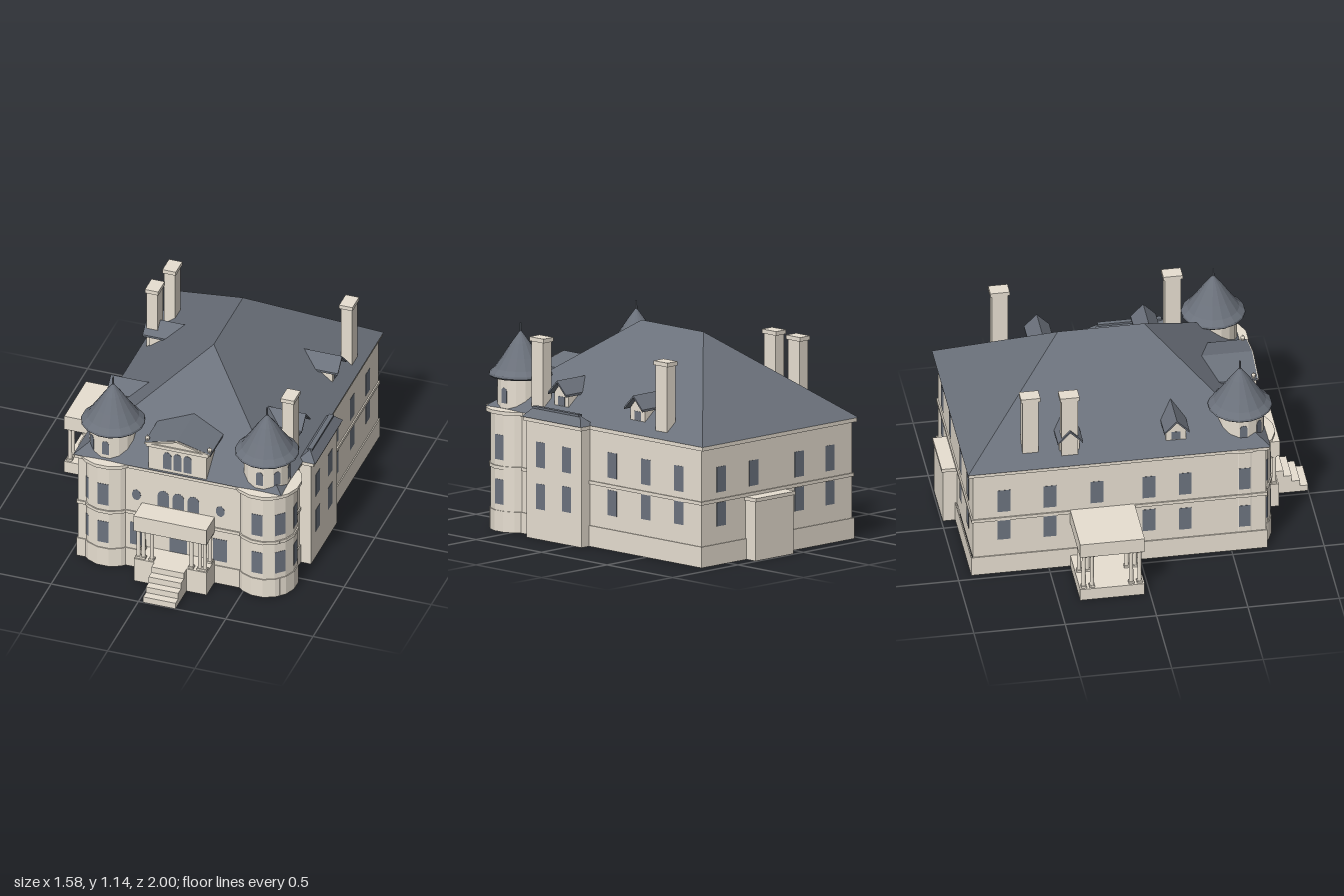
import * as THREE from 'three';

const mat = (name, color) => {
  const m = new THREE.MeshStandardMaterial({ color, flatShading: true, side: THREE.DoubleSide });
  m.name = name;
  return m;
};

export function createModel() {
  const house = new THREE.Group();
  house.name = 'mansion';
  const stone = mat('cream stone', 0xe7dfd1);
  const slate = mat('slate roof', 0x6b717b);
  const glass = mat('window glass', 0x6c737f);
  const CX = 0.119; // symmetry axis of the main block

  const add = (name, geo, material, parent = house) => {
    const m = new THREE.Mesh(geo, material);
    m.name = name;
    parent.add(m);
    return m;
  };
  // Box given by its min and max on each axis
  const box = (name, x0, x1, y0, y1, z0, z1, material = stone, parent = house) => {
    const m = add(name, new THREE.BoxGeometry(x1 - x0, y1 - y0, z1 - z0), material, parent);
    m.position.set((x0 + x1) / 2, (y0 + y1) / 2, (z0 + z1) / 2);
  };
  const column = (name, x, z, y0, y1, r) => {
    const m = add(name, new THREE.CylinderGeometry(r * 0.85, r, y1 - y0, 12), stone);
    m.position.set(x, (y0 + y1) / 2, z);
    for (const y of [y0 + 0.006, y1 - 0.006]) {
      box(name + 'Block', x - r * 1.25, x + r * 1.25, y - 0.006, y + 0.006, z - r * 1.25, z + r * 1.25);
    }
  };
  const polygon = (pts) => new THREE.Shape(pts.map(([x, y]) => new THREE.Vector2(x, y)));
  const extrude = (shape, depth) =>
    new THREE.ExtrudeGeometry(shape, { depth, bevelEnabled: false, curveSegments: 8 });

  // Hollow foundation wall from the ground up to height h
  const skirt = (name, x0, x1, z0, z1, h) => {
    const rect = (t) => [[x0 + t, -z1 + t], [x1 - t, -z1 + t], [x1 - t, -z0 - t], [x0 + t, -z0 - t]];
    const s = polygon(rect(0));
    s.holes.push(polygon(rect(0.006)));
    add(name, extrude(s, h), stone).rotation.x = -Math.PI / 2;
  };

  // Thin glass plate, standing on y, facing outward by angle a around y
  const pane = (kind, w, h, x, y, z, a = 0, parent = house) => {
    let s = new THREE.Shape();
    if (kind === 'oval') {
      s.absellipse(0, h / 2, w / 2, h / 2, 0, Math.PI * 2);
    } else if (kind === 'arch') {
      s.moveTo(-w / 2, 0);
      s.lineTo(w / 2, 0);
      s.lineTo(w / 2, h - w / 2);
      s.absarc(0, h - w / 2, w / 2, 0, Math.PI);
    } else {
      s = polygon([[-w / 2, 0], [w / 2, 0], [w / 2, h], [-w / 2, h]]);
    }
    const m = add(kind + 'Window', extrude(s, 0.004).translate(0, 0, -0.0025), glass, parent);
    m.position.set(x, y, z);
    m.rotation.y = a;
  };

  // Hipped roof: rectangle at y0, ridge along z at y1
  const hipRoof = (name, x0, x1, z0, z1, y0, y1, rx, r0, r1) => {
    const a = [x0, y0, z1], b = [x1, y0, z1], c = [x1, y0, z0], d = [x0, y0, z0];
    const f = [rx, y1, r1], k = [rx, y1, r0];
    const tris = [a, b, f, b, c, k, b, k, f, c, d, k, d, a, f, d, f, k, a, d, c, a, c, b];
    const g = new THREE.BufferGeometry();
    g.setAttribute('position', new THREE.Float32BufferAttribute(tris.flat(), 3));
    g.computeVertexNormals();
    add(name, g, slate);
  };

  // Main block with hollow plinth, string course and cornice
  box('mainWalls', -0.456, 0.695, 0.11, 0.65, -0.915, 0.69);
  skirt('plinth', -0.463, 0.702, -0.925, 0.695, 0.115);
  box('stringCourse', -0.463, 0.702, 0.343, 0.362, -0.923, 0.697);
  box('cornice', -0.47, 0.71, 0.645, 0.669, -0.94, 0.705);
  hipRoof('mainRoof', -0.476, 0.716, -0.945, 0.712, 0.668, 1.14, CX, -0.355, 0.117);

  // Side bay
  box('bayWalls', 0.68, 0.76, 0, 0.65, -0.065, 0.354);
  box('bayCornice', 0.68, 0.778, 0.645, 0.669, -0.08, 0.362);
  hipRoof('bayRoof', 0.68, 0.787, -0.085, 0.365, 0.667, 0.722, 0.74, -0.035, 0.315);
  box('bayRidge', 0.727, 0.753, 0.715, 0.727, -0.035, 0.315, slate);

  // Rear porch block
  box('rearPorch', 0.067, 0.358, 0, 0.328, -0.993, -0.9);
  box('rearPorchCap', 0.06, 0.364, 0.325, 0.345, -1, -0.9);

  // Corner towers, open at the ground
  const lathe = (pts) => new THREE.LatheGeometry(pts.map(([r, y]) => new THREE.Vector2(r, y)), 16, Math.PI / 16);
  for (const [s, x] of [[-1, -0.296], [1, 0.586]]) {
    const t = new THREE.Group();
    t.name = s < 0 ? 'rightTower' : 'leftTower';
    t.position.set(x, 0, 0.573);
    house.add(t);
    add('towerWall', lathe([[0.17, 0], [0.17, 0.115], [0.165, 0.115], [0.165, 0.343], [0.172, 0.343],
      [0.172, 0.362], [0.165, 0.362], [0.165, 0.645], [0.19, 0.648], [0.19, 0.668], [0.1, 0.672]]), stone, t);
    add('towerLantern', lathe([[0.128, 0.66], [0.128, 0.85]]), stone, t);
    add('towerRoof', lathe([[0.12, 0.834], [0.165, 0.836], [0.175, 0.845], [0.172, 0.856], [0.142, 0.882],
      [0.1, 0.943], [0.05, 1.02], [0.02, 1.06], [0.006, 1.08]]), slate, t);
    const spike = add('towerFinial', new THREE.CylinderGeometry(0.005, 0.007, 0.07, 8), slate, t);
    spike.position.y = 1.092;
    for (let i = 0; i < 3; i++) {
      const a = (s * i * Math.PI) / 4;
      const put = (kind, w, h, y, r) => pane(kind, w, h, Math.sin(a) * r, y, Math.cos(a) * r, a, t);
      put('square', 0.063, 0.137, 0.15, 0.162);
      put('square', 0.063, 0.137, 0.395, 0.162);
      put('arch', 0.04, 0.085, 0.7, 0.1257);
    }
  }

  // Front entrance porch and stairs
  skirt('porchBase', -0.09, 0.327, 0.68, 0.82, 0.14);
  box('porchFloor', -0.09, 0.327, 0.12, 0.145, 0.68, 0.82);
  box('porchRoof', -0.09, 0.327, 0.33, 0.426, 0.68, 0.826);
  for (const s of [-1, 1]) {
    for (const [dx, z] of [[0.19, 0.797], [0.162, 0.797], [0.113, 0.797], [0.19, 0.715]]) {
      column('porchColumn', CX + s * dx, z, 0.145, 0.332, 0.012);
    }
  }
  for (let i = 0; i < 4; i++) {
    box('stairStep', 0.027, 0.212, 0, 0.03625 * (i + 1), 0.81, 1 - 0.045 * i);
  }

  // Side carriage porch
  skirt('sidePorchBase', -0.79, -0.455, -0.383, -0.03, 0.065);
  box('sidePorchFloor', -0.79, -0.45, 0.05, 0.07, -0.383, -0.03);
  box('sidePorchRoof', -0.79, -0.45, 0.28, 0.365, -0.383, -0.03);
  for (const x of [-0.765, -0.613]) {
    for (const z of [-0.055, -0.1, -0.315, -0.36]) column('sidePorchColumn', x, z, 0.07, 0.282, 0.012);
  }

  // Gabled dormer facing +z with its face at local z = 0 and its roof jutting forward
  const dormer = (name, half, base, eave, peak, over, depth, jut) => {
    const g = new THREE.Group();
    g.name = name;
    house.add(g);
    const wall = add(name + 'Wall', extrude(polygon([[-half, base], [half, base], [half, eave], [0, peak - 0.012], [-half, eave]]), depth), stone, g);
    wall.position.z = -depth;
    const h = half + over;
    const roof = add(name + 'Roof', extrude(polygon([[-h, eave - 0.008], [0, peak - 0.012], [h, eave - 0.008], [h, eave + 0.004], [0, peak], [-h, eave + 0.004]]), depth + jut), slate, g);
    roof.position.z = -depth;
    return g;
  };
  for (const s of [-1, 1]) {
    for (const z of [-0.378, 0.205]) {
      const d = dormer('sideDormer', 0.055, 0.69, 0.795, 0.87, 0.014, 0.22, 0.036);
      d.position.set(CX + s * 0.523, 0, z);
      d.rotation.y = (s * Math.PI) / 2;
      pane('square', 0.05, 0.05, 0, 0.728, 0, 0, d);
    }
  }

  // Front pediment
  const ped = dormer('pediment', 0.167, 0.67, 0.835, 0.89, 0.022, 0.36, 0.003);
  ped.position.set(CX, 0, 0.705);
  box('pedimentCornice', -0.177, 0.177, 0.818, 0.838, -0.25, 0.008, stone, ped);
  for (const s of [-1, 1]) {
    // Raking trim and urns
    const rake = add('rakingTrim', extrude(polygon([[s * 0.187, 0.83], [0, 0.879], [0, 0.888], [s * 0.187, 0.839]]), 0.006), stone, ped);
    rake.position.z = 0.003;
    const urn = add('urn', new THREE.SphereGeometry(0.013, 10, 8), stone, ped);
    urn.position.set(s * 0.178, 0.856, -0.018);
    const stem = add('urnFoot', new THREE.CylinderGeometry(0.007, 0.012, 0.022, 8), stone, ped);
    stem.position.set(s * 0.178, 0.84, -0.018);
    const tip = add('urnTip', new THREE.ConeGeometry(0.006, 0.014, 8), stone, ped);
    tip.position.set(s * 0.178, 0.872, -0.018);
  }
  for (const i of [-1, 0, 1]) {
    pane('arch', 0.046, 0.108, i * 0.058, 0.69, 0, 0, ped);
    pane('arch', 0.064, 0.1, CX + i * 0.086, 0.43, 0.69);
  }

  // Front wall openings
  for (const s of [-1, 1]) {
    pane('oval', 0.05, 0.068, CX + s * 0.24, 0.437, 0.69);
    pane('square', 0.08, 0.143, CX + s * 0.238, 0.145, 0.69);
  }
  pane('square', 0.1, 0.165, CX, 0.145, 0.69);

  // Side windows: z and ground floor sill height
  for (const [z, sill] of [[0.247, 0.167], [0.048, 0.18], [-0.236, 0.19], [-0.493, 0.205], [-0.745, 0.215]]) {
    for (const s of [-1, 1]) {
      const x = s < 0 ? -0.456 : z > 0 ? 0.76 : 0.695;
      pane('square', 0.07, 0.14, x, 0.397, z, (s * Math.PI) / 2);
      pane('square', 0.07, z < -0.7 ? 0.128 : 0.14, x, sill, z, (s * Math.PI) / 2);
    }
  }
  // Rear windows
  for (const x of [0.543, 0.295, -0.053, -0.287]) {
    pane('square', 0.07, 0.14, x, 0.397, -0.915, Math.PI);
    if (x !== 0.295) pane('square', 0.07, 0.13, x, 0.21, -0.915, Math.PI);
  }

  // Chimneys
  for (const [x, z] of [[-0.369, -0.59], [-0.395, -0.38], [0.643, -0.59], [0.643, 0.357]]) {
    box('chimney', x - 0.032, x + 0.032, 0.7, 1.065, z - 0.044, z + 0.044);
    box('chimneyCap', x - 0.038, x + 0.038, 1.062, 1.085, z - 0.053, z + 0.053);
  }
  return house;
}
